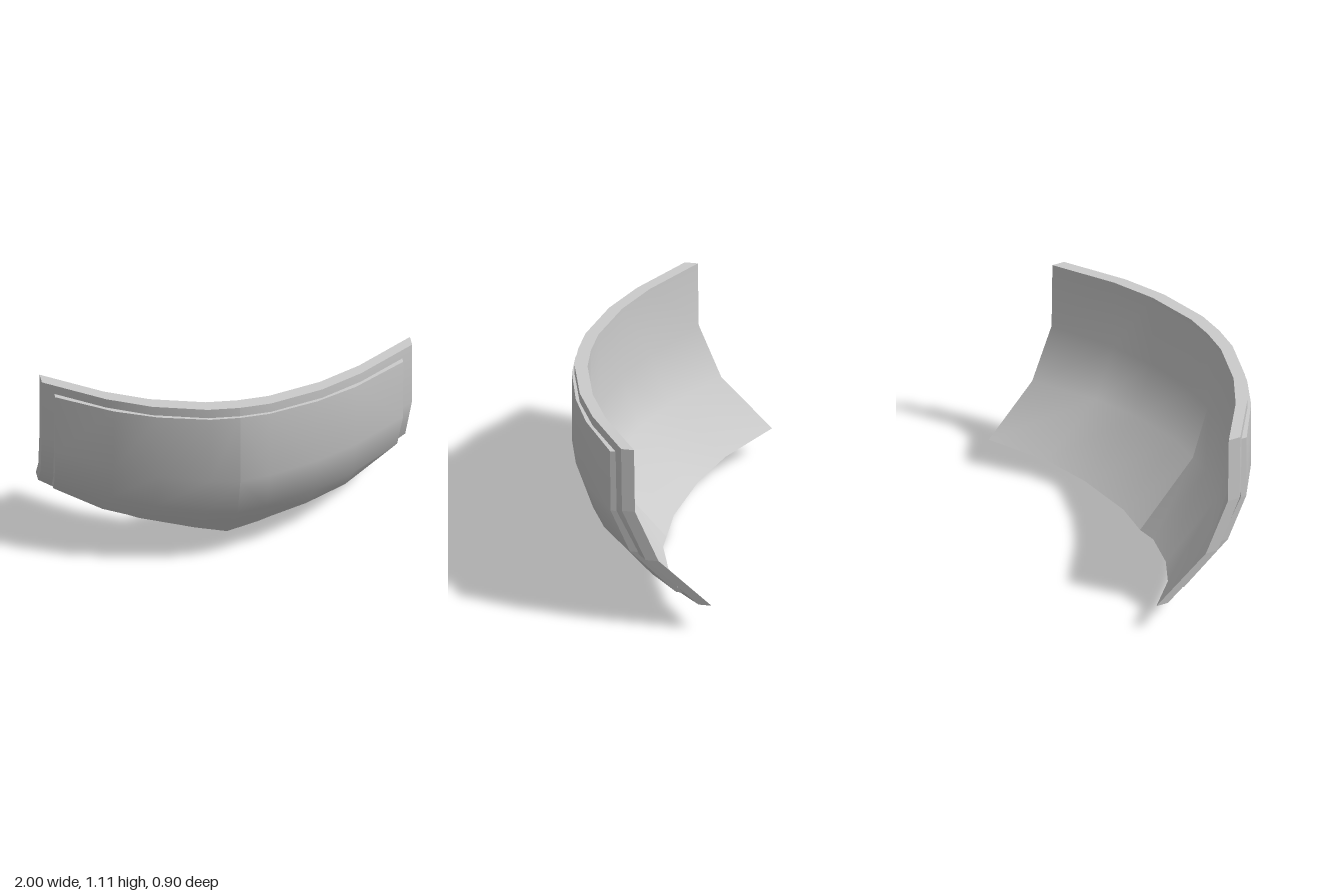
import * as THREE from 'three';
import { mergeGeometries } from 'three/addons/utils/BufferGeometryUtils.js';

// How far each column, from middle to side, has swept back and risen (0..1)
const SWEEP = [0, 0.027, 0.22, 0.49, 1];
const RISE = [0, 0.23, 0.49, 0.71, 1];

// Rows run from top to bottom. Each holds the middle point (yMid, zMid),
// the side point (xSide, ySide, zSide) and the thickness along z.
const PLATE = {
  columns: [0, 0.17, 0.46, 0.69],
  rows: [
    { yMid: 1.11, zMid: 0.435, xSide: 1, ySide: 1.11, zSide: 0.03, depth: 0.07 },
    { yMid: 0.65, zMid: 0.435, xSide: 1, ySide: 0.73, zSide: 0.025, depth: 0.07 },
    { yMid: 0.36, zMid: 0.345, xSide: 0.985, ySide: 0.43, zSide: -0.1, depth: 0.07 },
    { yMid: 0, zMid: 0.027, xSide: 0.95, ySide: 0.163, zSide: -0.38, depth: 0.07 },
  ],
};
const PANEL = {
  columns: [0, 0.16, 0.43, 0.655],
  rows: [
    { yMid: 1.055, zMid: 0.45, xSide: 0.94, ySide: 1.055, zSide: 0.1, depth: 0.03 },
    { yMid: 0.635, zMid: 0.45, xSide: 0.94, ySide: 0.69, zSide: 0.097, depth: 0.033 },
    { yMid: 0.36, zMid: 0.36, xSide: 0.925, ySide: 0.44, zSide: -0.005, depth: 0.045 },
    { yMid: 0.06, zMid: 0.092, xSide: 0.89, ySide: 0.193, zSide: -0.25, depth: 0.04 },
  ],
};

function toGeometry(points, index) {
  const geometry = new THREE.BufferGeometry();
  geometry.setAttribute('position', new THREE.Float32BufferAttribute(points.flat(), 3));
  geometry.setIndex(index);
  geometry.computeVertexNormals();
  return geometry;
}

// One half of a curved shell: smooth front and back with a crisp rim.
// The halves stay separate so the middle keeps its crease.
function halfShell({ columns, rows }, side) {
  const nc = SWEEP.length;
  const quad = (a, b, c, d, flip) => (flip ? [a, c, b, a, d, c] : [a, b, c, a, c, d]);
  const grid = (back) => rows.flatMap((r) => SWEEP.map((s, i) => [
    side * (i < nc - 1 ? columns[i] : r.xSide),
    THREE.MathUtils.lerp(r.yMid, r.ySide, RISE[i]),
    THREE.MathUtils.lerp(r.zMid, r.zSide, s) - (back ? r.depth : 0),
  ]));
  const front = grid(false), back = grid(true);

  const faces = (flip) => {
    const index = [];
    for (let j = 0; j < rows.length - 1; j++) {
      for (let i = 0; i < nc - 1; i++) {
        const a = j * nc + i;
        index.push(...quad(a, a + nc, a + nc + 1, a + 1, flip));
      }
    }
    return index;
  };

  // Rim path: along the top, down the side and back along the bottom
  const path = [];
  for (let i = 0; i < nc; i++) path.push(i);
  for (let j = 1; j < rows.length; j++) path.push(j * nc + nc - 1);
  for (let i = nc - 2; i >= 0; i--) path.push((rows.length - 1) * nc + i);
  const rimPoints = [], rimIndex = [];
  for (let k = 0; k < path.length - 1; k++) {
    const [p, q] = [path[k], path[k + 1]];
    const n = rimPoints.length;
    rimPoints.push(front[p], front[q], back[q], back[p]);
    rimIndex.push(...quad(n, n + 1, n + 2, n + 3, side < 0));
  }

  return mergeGeometries([
    toGeometry(front, faces(side < 0)),
    toGeometry(back, faces(side > 0)),
    toGeometry(rimPoints, rimIndex),
  ]);
}

export function createModel() {
  const group = new THREE.Group();
  group.name = 'curvedArmorPlate';
  const material = new THREE.MeshStandardMaterial({ color: 0xcccccc });
  const addShell = (name, shape) => {
    const mesh = new THREE.Mesh(
      mergeGeometries([halfShell(shape, 1), halfShell(shape, -1)]), material);
    mesh.name = name;
    group.add(mesh);
  };

  // Backing plate and the raised panel on its front
  addShell('backingPlate', PLATE);
  addShell('raisedPanel', PANEL);
  return group;
}
